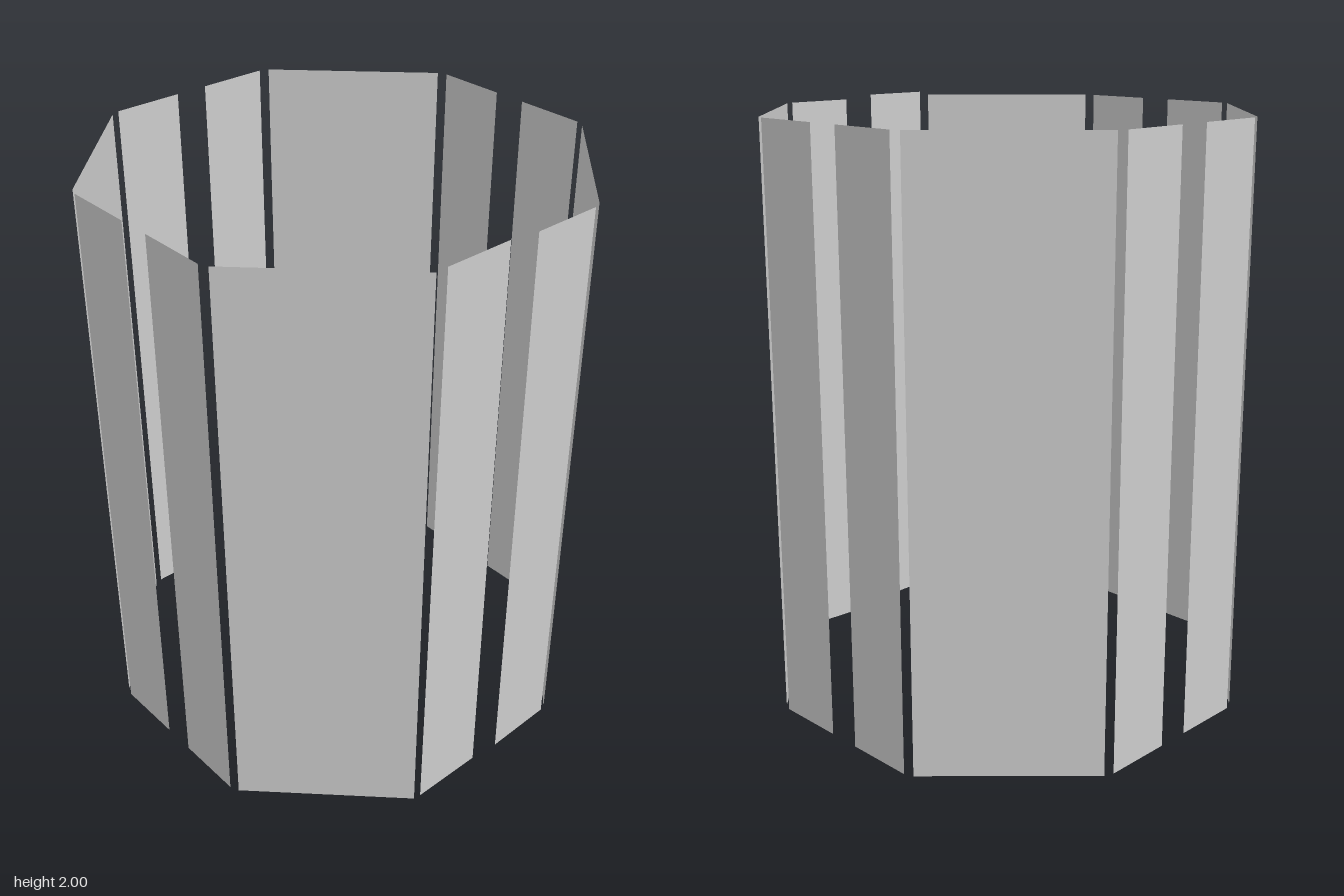
import * as THREE from 'three';

const RADIUS = 0.76;   // distance of every panel from the centre axis
const HEIGHT = 1.985;
const BASE = 0.003;

const material = new THREE.MeshStandardMaterial({
  color: 0xcccccc, flatShading: true, side: THREE.DoubleSide,
});

// Upright sheet; `offset` slides it sideways within its face of the octagon
function panel(name, width, offset) {
  const geometry = new THREE.PlaneGeometry(width, HEIGHT);
  geometry.translate(offset, BASE + HEIGHT / 2, RADIUS);
  const mesh = new THREE.Mesh(geometry, material);
  mesh.name = name;
  return mesh;
}

// Nudge one corner (0 top left, 1 top right, 2 bottom left, 3 bottom right)
function nudge(mesh, corner, dx, dy) {
  const p = mesh.geometry.attributes.position;
  p.setXY(corner, p.getX(corner) + dx, p.getY(corner) + dy);
}

export function createModel() {
  const group = new THREE.Group();
  group.name = 'octagonalPanelRing';
  const faces = ['front', 'left', 'back', 'right'];
  const corners = ['frontLeft', 'backLeft', 'backRight', 'frontRight'];

  for (let i = 0; i < 4; i++) {
    // Wide panel on each main side
    const wide = panel(`${faces[i]}WidePanel`, 0.595, 0);
    wide.rotation.y = i * Math.PI / 2;
    group.add(wide);

    // Pair of narrow panels with a gap between them on each diagonal side
    const pair = new THREE.Group();
    pair.name = `${corners[i]}PanelPair`;
    pair.rotation.y = (i + 0.5) * Math.PI / 2;
    const first = panel(`${corners[i]}FirstPanel`, 0.24, -0.177);
    const second = panel(`${corners[i]}SecondPanel`, 0.24, 0.177);
    pair.add(first, second);
    group.add(pair);

    // The front left pair sits slightly askew
    if (i === 0) {
      first.position.y = 0.012;
      nudge(first, 2, -0.014, 0.003);
      nudge(first, 3, 0, 0.003);
      nudge(second, 3, 0, 0.012);
    }
  }
  return group;
}
